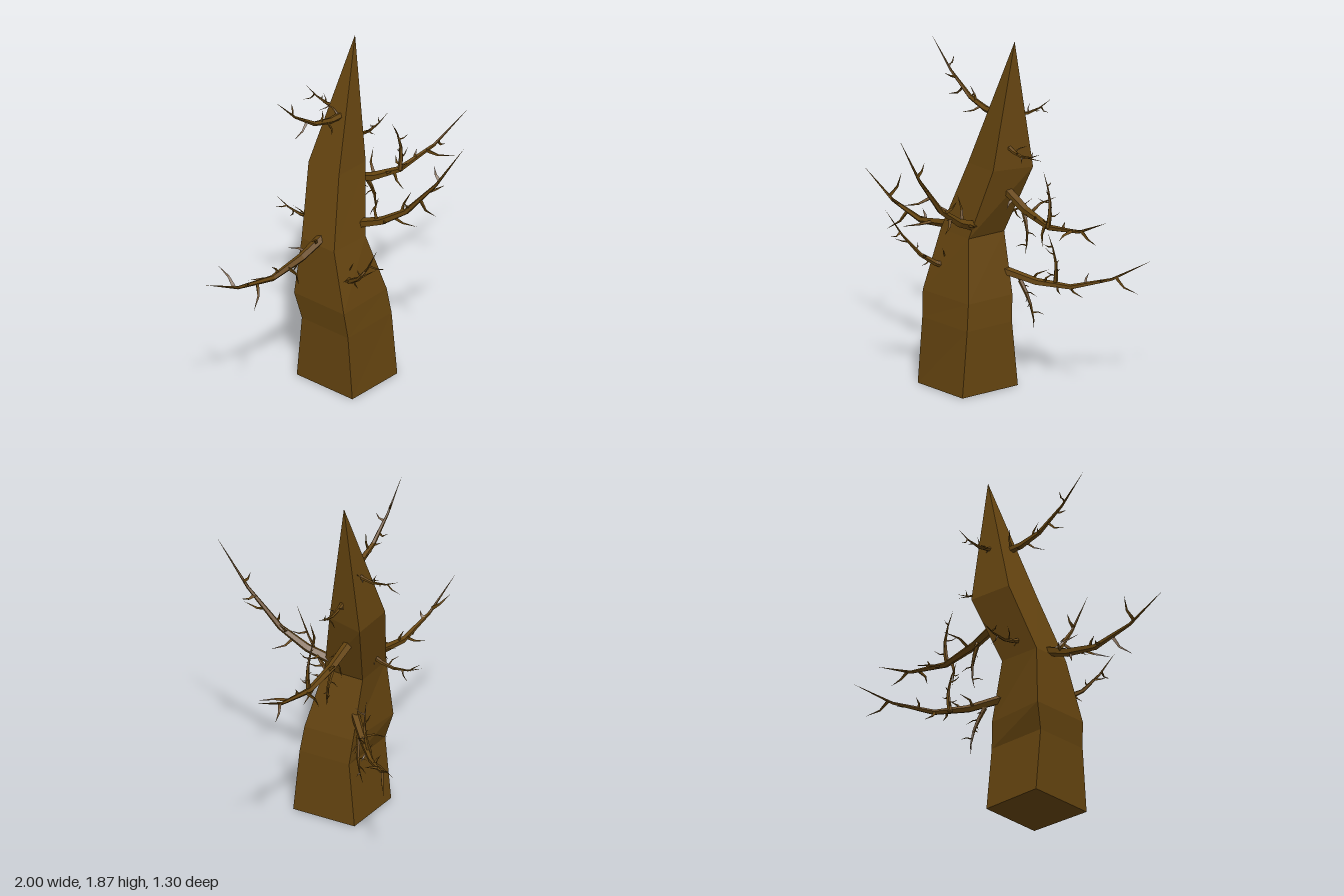
import * as THREE from 'three';
import { mergeGeometries } from 'three/addons/utils/BufferGeometryUtils.js';

const V = (x, y, z) => new THREE.Vector3(x, y, z);

// Skin a stack of rings (counter-clockwise seen from the tip), with a closed base
function loft(rings) {
  const pos = [];
  const tri = (...pts) => pts.forEach(p => pos.push(p.x, p.y, p.z));
  const n = rings[0].length;
  for (let k = 0; k < rings.length - 1; k++) {
    const a = rings[k], b = rings[k + 1];
    for (let i = 0; i < n; i++) {
      const j = (i + 1) % n;
      tri(a[i], a[j], b[j]);
      if (k < rings.length - 2) tri(a[i], b[j], b[i]);
    }
  }
  for (let i = 1; i < n - 1; i++) tri(rings[0][0], rings[0][i + 1], rings[0][i]);
  const g = new THREE.BufferGeometry();
  g.setAttribute('position', new THREE.Float32BufferAttribute(pos, 3));
  g.computeVertexNormals();
  return g;
}

// Two unit vectors across a direction
function across(t) {
  const ref = Math.abs(t.y) > 0.85 ? V(1, 0, 0) : V(0, 1, 0);
  const u = ref.cross(t).normalize();
  return [u, t.clone().cross(u)];
}

// Tapered polyline limb ending in a point
function limb(points, radius, sides) {
  const last = points.length - 1;
  return loft(points.map((p, k) => {
    const t = points[Math.min(k + 1, last)].clone().sub(points[Math.max(k - 1, 0)]).normalize();
    const [u, v] = across(t);
    const r = radius * (1 - (k / last) ** 1.3);
    return Array.from({ length: sides }, (_, i) => {
      const a = i / sides * Math.PI * 2;
      return p.clone().addScaledVector(u, Math.cos(a) * r).addScaledVector(v, Math.sin(a) * r);
    });
  }));
}

// Point and direction at a fraction of a polyline
function along(points, f) {
  const s = f * (points.length - 1), k = Math.min(Math.floor(s), points.length - 2);
  return [points[k].clone().lerp(points[k + 1], s - k),
    points[k + 1].clone().sub(points[k]).normalize()];
}

// Curved thorns spiralling round a limb
function thorns(points, count, length, radius, phase) {
  return Array.from({ length: count }, (_, i) => {
    const [p, t] = along(points, 0.12 + 0.66 * i / (count - 1));
    const [u, v] = across(t);
    const a = phase + i * 1.75;
    const out = u.multiplyScalar(Math.cos(a)).addScaledVector(v, Math.sin(a));
    const l = length * (0.65 + 0.35 * Math.sin(i * 2.3 + phase));
    return limb([p,
      p.clone().addScaledVector(out, l * 0.5).addScaledVector(t, l * 0.1),
      p.clone().addScaledVector(out, l).addScaledVector(t, l * 0.5)], radius, 3);
  });
}

// Thorny branch bowed between two points; thickness and thorns follow its length
function branch(start, end, bow, phase) {
  const size = start.distanceTo(end);
  const points = [0, 0.22, 0.45, 0.73, 1].map(f =>
    start.clone().lerp(end, f).addScaledVector(bow, size * Math.sin(Math.PI * f)));
  const radius = 0.007 + 0.023 * size;
  return mergeGeometries([limb(points, radius, 5),
    ...thorns(points, Math.round(5 + 4.5 * size), 0.04 + 0.125 * size, radius * 0.42, phase)]);
}

export function createModel() {
  const group = new THREE.Group();
  const bark = new THREE.MeshStandardMaterial({ color: 0x664510, flatShading: true });
  const add = (geometry, name) => {
    const mesh = new THREE.Mesh(geometry, bark);
    mesh.name = name;
    group.add(mesh);
  };

  // Square, bent trunk: height, then x and z of front left, front right, back right, back left
  const level = (y, ...xz) => [0, 2, 4, 6].map(i => V(xz[i], y, xz[i + 1]));
  const trunk = [
    level(0, -0.195, 0.22, 0.16, 0.21, 0.16, -0.155, -0.195, -0.165),
    level(0.35, -0.195, 0.19, 0.155, 0.175, 0.155, -0.12, -0.195, -0.13),
    level(0.49, -0.21, 0.175, 0.14, 0.155, 0.14, -0.135, -0.21, -0.17),
    level(0.81, -0.18, 0.08, 0.055, 0.085, 0.06, -0.145, -0.18, -0.145),
    level(1.18, -0.055, 0, 0.15, 0, 0.21, -0.215, -0.05, -0.215),
    Array(4).fill(V(0.19, 1.87, -0.11)),
  ];
  add(loft(trunk), 'trunk');

  // Branches sag between root and tip
  const sag = V(0, -0.15, 0);
  const branches = {
    lowerRightBranch: [V(-0.1, 0.86, -0.03), V(-1, 0.905, -0.075)],
    upperRightBranch: [V(0.1, 1.455, -0.09), V(-0.45, 1.75, -0.08)],
    upperLeftBranch: [V(0.1, 1.065, -0.11), V(1, 1.1, -0.065)],
    backLeftBranch: [V(0.09, 0.61, -0.12), V(0.64, 0.69, -0.65)],
    frontBranch: [V(0.05, 0.87, 0.04), V(0.19, 1.49, 0.65)],
    lowerFrontBranch: [V(-0.11, 0.62, 0.08), V(-0.22, 0.965, 0.415)],
    upperBackBranch: [V(0.12, 1.475, -0.12), V(0.13, 1.49, -0.4)],
    lowerBackBranch: [V(-0.06, 0.9, -0.12), V(-0.06, 0.9, -0.43)],
    smallLeftBranch: [V(0.15, 1.305, -0.09), V(0.42, 1.32, -0.09)],
  };
  Object.entries(branches).forEach(([name, [root, tip]], i) =>
    add(branch(root, tip, sag, i * 1.3 + 1), name));

  // Upright and hanging side twigs on the larger branches
  const lean = V(0.12, 0, 0);
  const twigs = {
    raisedTwig: [V(0.5, 0.95, -0.08), V(0.45, 1.24, -0.09)],
    hangingTwig: [V(0.27, 0.99, -0.1), V(0.31, 0.75, -0.08)],
    lowerRaisedTwig: [V(0.27, 0.53, -0.31), V(0.25, 0.82, -0.28)],
    lowerHangingTwig: [V(0.15, 0.56, -0.18), V(0.2, 0.29, -0.23)],
  };
  Object.entries(twigs).forEach(([name, [root, tip]], i) =>
    add(branch(root, tip, lean, i * 2), name));
  return group;
}
